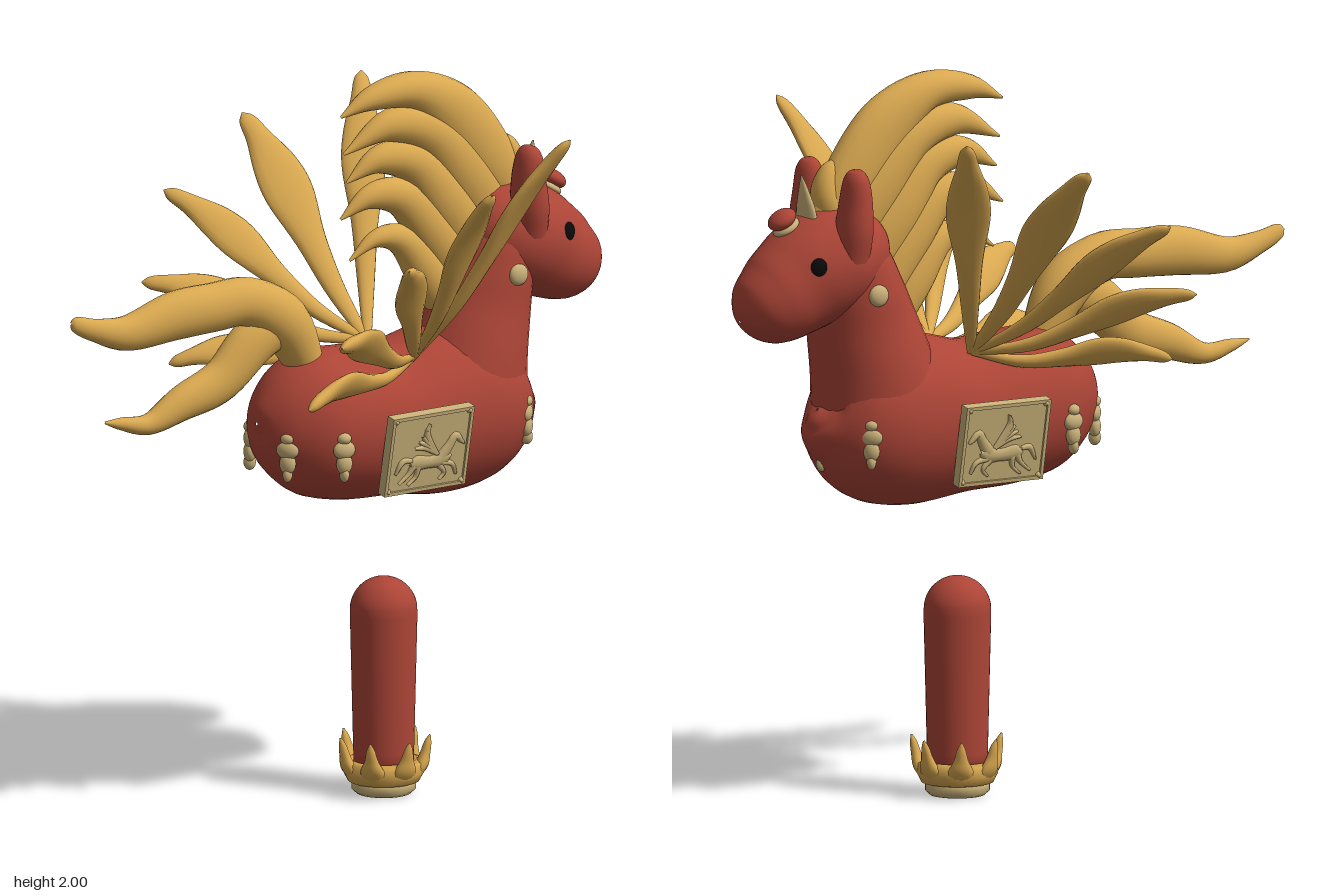
import * as THREE from 'three';

const mat = (name, color) => Object.assign(new THREE.MeshStandardMaterial({ color }), { name });
const red = mat('red', 0xad4537);
const gold = mat('gold', 0xd9a850);
const cream = mat('cream', 0xcbb27a);
const black = mat('black', 0x0a0a0a);
const Z = new THREE.Vector3(0, 0, 1);

// Smooth tube through stations [x, y, z, radius across, radius along n]
function loft(stations, n = Z, steps = 40, sides = 24) {
  const path = new THREE.CatmullRomCurve3(stations.map(s => new THREE.Vector3(s[0], s[1], s[2])), false, 'catmullrom');
  const radii = new THREE.CatmullRomCurve3(stations.map(s => new THREE.Vector3(s[3], s[4], 0)), false, 'catmullrom');
  const pos = [], idx = [];
  for (let i = 0; i <= steps; i++) {
    const t = i / steps, c = path.getPoint(t), r = radii.getPoint(t);
    const up = new THREE.Vector3().crossVectors(n, path.getTangent(t)).normalize();
    const a = Math.max(r.x, 0.0005), b = Math.max(r.y, 0.0005);
    for (let j = 0; j < sides; j++) {
      const th = (j / sides) * Math.PI * 2;
      const p = c.clone().addScaledVector(up, a * Math.cos(th)).addScaledVector(n, b * Math.sin(th));
      pos.push(p.x, p.y, p.z);
      if (i < steps) {
        const k = (j + 1) % sides, q = i * sides;
        idx.push(q + j, q + k, q + sides + j, q + k, q + sides + k, q + sides + j);
      }
    }
  }
  const g = new THREE.BufferGeometry();
  g.setAttribute('position', new THREE.Float32BufferAttribute(pos, 3));
  g.setIndex(idx);
  g.computeVertexNormals();
  return g;
}

function add(parent, name, geo, material, x = 0, y = 0, z = 0) {
  const m = new THREE.Mesh(geo, material);
  m.name = name;
  m.position.set(x, y, z);
  parent.add(m);
  return m;
}

const ball = (rx, ry, rz) => new THREE.SphereGeometry(1, 24, 16).scale(rx, ry, rz);
const flat = rows => rows.map(([x, y, a, b = a]) => [x, y, 0, a, b]);

// Feather: slim quill, wide blade, pinched pointed tip
function feather(root, tip, n, width) {
  const outline = [[0, 0.012], [0.25, 0.026], [0.45, 0.04], [0.62, 0.064], [0.74, 0.058], [0.87, 0.034], [0.96, 0.022], [1, 0.002]];
  return loft(outline.map(([t, w]) => {
    const p = root.clone().lerp(tip, t);
    p.y -= 0.02 * Math.sin(t * Math.PI * 2);
    return [p.x, p.y, p.z, w * width, Math.min(0.019, w * 0.6)];
  }), n, 32, 14);
}

// Small stacked drop ornament facing +z before turning
function ornament(parent, x, y, z, turn) {
  const g = new THREE.Group();
  g.name = 'dropOrnament';
  g.position.set(x, y, z);
  g.rotation.y = turn;
  [[0.05, 0.02, 0.016], [0.018, 0.032, 0.026], [-0.02, 0.023, 0.03], [-0.05, 0.013, 0.022]]
    .forEach(([dy, w, h]) => add(g, 'ornamentBead', ball(w, h, 0.017), cream, 0, dy, 0));
  parent.add(g);
}

// Framed side plaque with a winged horse in relief
function plaque(parent, s) {
  const g = new THREE.Group();
  g.name = 'sidePlaque';
  g.position.set(0.165, 1.0, s * 0.213);
  g.rotation.x = s * 0.2;
  add(g, 'plaquePanel', new THREE.BoxGeometry(0.265, 0.23, 0.018), cream);
  for (const d of [-1, 1]) {
    add(g, 'plaqueFrame', new THREE.BoxGeometry(0.27, 0.01, 0.03), cream, 0, d * 0.11, 0);
    add(g, 'plaqueFrame', new THREE.BoxGeometry(0.01, 0.23, 0.03), cream, d * 0.13, 0, 0);
    for (const e of [-1, 1]) add(g, 'plaqueStud', ball(0.01, 0.01, 0.019), cream, d * 0.122, e * 0.104, 0);
  }
  const strokes = [
    [[-0.06, -0.03, 0.004], [-0.04, -0.03, 0.022], [0.01, -0.034, 0.018], [0.05, -0.03, 0.023], [0.075, -0.02, 0.004]],
    [[0.045, -0.025, 0.02], [0.07, 0.01, 0.015], [0.085, 0.035, 0.012], [0.105, 0.018, 0.008], [0.115, 0.008, 0.003]],
    [[0.05, -0.04, 0.01], [0.085, -0.05, 0.007], [0.1, -0.08, 0.004]],
    [[0.04, -0.045, 0.01], [0.06, -0.07, 0.006], [0.045, -0.09, 0.004]],
    [[-0.045, -0.035, 0.013], [-0.06, -0.06, 0.007], [-0.09, -0.085, 0.004]],
    [[-0.03, -0.04, 0.012], [-0.035, -0.07, 0.006], [-0.06, -0.092, 0.004]],
    [[-0.055, -0.02, 0.006], [-0.085, -0.02, 0.009], [-0.105, -0.055, 0.003]],
  ];
  for (let i = 0; i < 5; i++) {
    strokes.push([[0.03, -0.012, 0.006], [-0.01, 0.01 + i * 0.01, 0.009], [-0.05 + i * 0.011, 0.015 + i * 0.017, 0.003]]);
  }
  strokes.forEach(st => add(g, 'horseRelief', loft(flat(st.map(([x, y, r]) => [x, y, r, 0.009])), Z, 12, 8), cream, 0, 0, s * 0.009));
  parent.add(g);
}

export function createModel() {
  const model = new THREE.Group();
  model.name = 'wingedHorse';

  // Body, neck and head
  add(model, 'body', loft(flat([
    [-0.25, 1.09, 0.004], [-0.236, 1.09, 0.07, 0.06], [-0.19, 1.085, 0.14, 0.12], [-0.1, 1.075, 0.197, 0.175],
    [0.03, 1.055, 0.212, 0.195], [0.17, 1.045, 0.21, 0.2], [0.32, 1.05, 0.235, 0.2], [0.45, 1.06, 0.23, 0.195],
    [0.54, 1.07, 0.19, 0.165], [0.595, 1.08, 0.12, 0.11], [0.615, 1.09, 0.06, 0.055], [0.624, 1.1, 0.004]]), Z, 66, 40), red);
  add(model, 'neck', loft(flat([
    [0.41, 1.04, 0.19, 0.18], [0.43, 1.12, 0.187, 0.18], [0.455, 1.22, 0.167, 0.17], [0.485, 1.33, 0.15, 0.153],
    [0.51, 1.43, 0.13, 0.148], [0.53, 1.53, 0.1, 0.13], [0.545, 1.6, 0.05, 0.07]]), Z, 40, 36), red);
  add(model, 'head', loft(flat([
    [0.42, 1.57, 0.003], [0.435, 1.565, 0.055, 0.06], [0.48, 1.55, 0.11, 0.12], [0.56, 1.52, 0.147, 0.155], [0.64, 1.485, 0.152, 0.153],
    [0.71, 1.445, 0.14, 0.135], [0.77, 1.41, 0.122, 0.122], [0.825, 1.385, 0.093, 0.095], [0.86, 1.37, 0.048, 0.05], [0.873, 1.364, 0.003]]), Z, 60, 36), red);

  for (const s of [1, -1]) {
    // Ears, eyes and neck studs
    add(model, 'ear', loft([
      [0.585, 1.52, s * 0.1, 0.05, 0.06], [0.58, 1.6, s * 0.115, 0.05, 0.062], [0.575, 1.68, s * 0.118, 0.043, 0.055],
      [0.575, 1.74, s * 0.12, 0.034, 0.044], [0.576, 1.767, s * 0.12, 0.02, 0.027], [0.577, 1.775, s * 0.12, 0.002, 0.002]], Z, 30), red);
    add(model, 'eye', ball(0.024, 0.027, 0.014), black, 0.7, 1.515, s * 0.129).rotation.y = s * 0.3;
    add(model, 'neckStud', ball(0.03, 0.03, 0.016), cream, 0.52, 1.425, s * 0.148);

    // Five-feather wing
    const wing = new THREE.Group();
    wing.name = 'wing';
    const root = new THREE.Vector3(0.2, 1.235, s * 0.11);
    const normal = new THREE.Vector3(0.3, -0.58, s * 0.75).normalize();
    [[0.45, 1.88, 0.485, 0.95], [0.12, 1.79, 0.58, 1.1], [-0.15, 1.615, 0.57, 0.9], [-0.3, 1.4, 0.465, 0.85], [-0.31, 1.2, 0.325, 0.75]]
      .forEach(([x, y, z, w]) => add(wing, 'feather', feather(root, new THREE.Vector3(x, y, s * z), normal, w), gold));
    model.add(wing);

    plaque(model, s);
    ornament(model, 0.545, 1.02, s * 0.15, s > 0 ? 0.75 : Math.PI - 0.75);
    ornament(model, -0.085, 1.01, s * 0.178, s > 0 ? -0.2 : Math.PI + 0.2);
    ornament(model, -0.21, 1.01, s * 0.088, s > 0 ? -0.95 : Math.PI + 0.95);
  }
  ornament(model, 0.61, 1.0, 0, Math.PI / 2);

  // Mane locks sweeping back from the crest
  [
    [[0.6, 1.6, 0.06, 0.04], [0.52, 1.72, 0.085, 0.055], [0.41, 1.86, 0.085, 0.055], [0.28, 1.945, 0.055, 0.05], [0.14, 1.945, 0.035, 0.035], [0.03, 1.905, 0.003]],
    [[0.54, 1.56, 0.08, 0.05], [0.44, 1.7, 0.085, 0.06], [0.33, 1.82, 0.065, 0.055], [0.19, 1.86, 0.045, 0.04], [0.04, 1.8, 0.003]],
    [[0.48, 1.48, 0.08, 0.05], [0.38, 1.62, 0.08, 0.06], [0.28, 1.74, 0.06, 0.05], [0.16, 1.77, 0.04, 0.035], [0.05, 1.72, 0.003]],
    [[0.44, 1.4, 0.07, 0.05], [0.34, 1.54, 0.07, 0.055], [0.24, 1.65, 0.055, 0.045], [0.13, 1.67, 0.035, 0.03], [0.03, 1.62, 0.003]],
    [[0.39, 1.32, 0.05, 0.045], [0.32, 1.43, 0.06, 0.05], [0.24, 1.53, 0.045, 0.04], [0.15, 1.55, 0.025, 0.025], [0.06, 1.5, 0.003]],
    [[0.56, 1.6, 0.05, 0.04], [0.6, 1.68, 0.04, 0.045], [0.59, 1.75, 0.025, 0.03], [0.55, 1.79, 0.003]],
  ].forEach(l => add(model, 'maneLock', loft(flat(l), Z, 32, 18), gold));

  // Tail locks
  [
    [[-0.08, 1.22, 0.05, 0.05], [-0.16, 1.36, 0.075, 0.07], [-0.28, 1.435, 0.068, 0.06], [-0.4, 1.437, 0.068, 0.055], [-0.53, 1.432, 0.068, 0.05],
      [-0.68, 1.407, 0.05, 0.04], [-0.79, 1.43, 0.032, 0.025], [-0.855, 1.455, 0.022, 0.015], [-0.872, 1.46, 0.003]],
    [[-0.12, 1.36, 0.05, 0.04], [-0.25, 1.33, 0.07, 0.05], [-0.37, 1.23, 0.062, 0.045], [-0.5, 1.185, 0.05, 0.04],
      [-0.61, 1.142, 0.03, 0.028], [-0.7, 1.155, 0.018, 0.018], [-0.76, 1.167, 0.003]],
  ].forEach(l => add(model, 'tailLock', loft(flat(l), Z, 40, 20), gold));

  // Forehead crest with a gem
  add(model, 'crestPlate', loft(flat([[0.655, 1.58, 0.018, 0.05], [0.66, 1.65, 0.016, 0.045], [0.667, 1.7, 0.011, 0.025], [0.675, 1.75, 0.002]]), Z, 20, 16), cream);
  add(model, 'gemSetting', ball(0.04, 0.016, 0.038), cream, 0.725, 1.612, 0).rotation.z = -0.55;
  add(model, 'foreheadGem', ball(0.042, 0.024, 0.04), red, 0.738, 1.634, 0).rotation.z = -0.55;

  // Separate rounded post
  const v = (x, y) => new THREE.Vector2(x, y);
  const post = [v(0, 0.04), v(0.08, 0.04), v(0.083, 0.12), v(0.092, 0.5)];
  for (let i = 1; i <= 10; i++) post.push(v(0.092 * Math.cos(i * Math.PI / 20), 0.51 + 0.092 * Math.sin(i * Math.PI / 20)));
  add(model, 'post', new THREE.LatheGeometry(post, 36), red, 0.175, 0, 0);

  // Post foot and clawed crown
  add(model, 'postFoot', new THREE.LatheGeometry([v(0, 0), v(0.075, 0), v(0.088, 0.012), v(0.088, 0.032), v(0.075, 0.05), v(0, 0.05)], 36), cream, 0.175, 0, 0);
  add(model, 'crownRing', new THREE.LatheGeometry(
    [v(0.075, 0.03), v(0.098, 0.035), v(0.111, 0.06), v(0.108, 0.088), v(0.09, 0.095), v(0.075, 0.08), v(0.075, 0.03)], 36), gold, 0.175, 0, 0);
  for (let i = 0; i < 7; i++) {
    const claw = add(model, 'crownClaw', loft(flat([
      [0.085, 0.05, 0.015, 0.04], [0.104, 0.08, 0.018, 0.034], [0.113, 0.11, 0.014, 0.02], [0.12, 0.14, 0.01, 0.012], [0.126, 0.162, 0.002]]), Z, 16, 12), gold, 0.175, 0, 0);
    claw.rotation.y = (i / 7) * Math.PI * 2 + 0.2;
  }
  return model;
}
